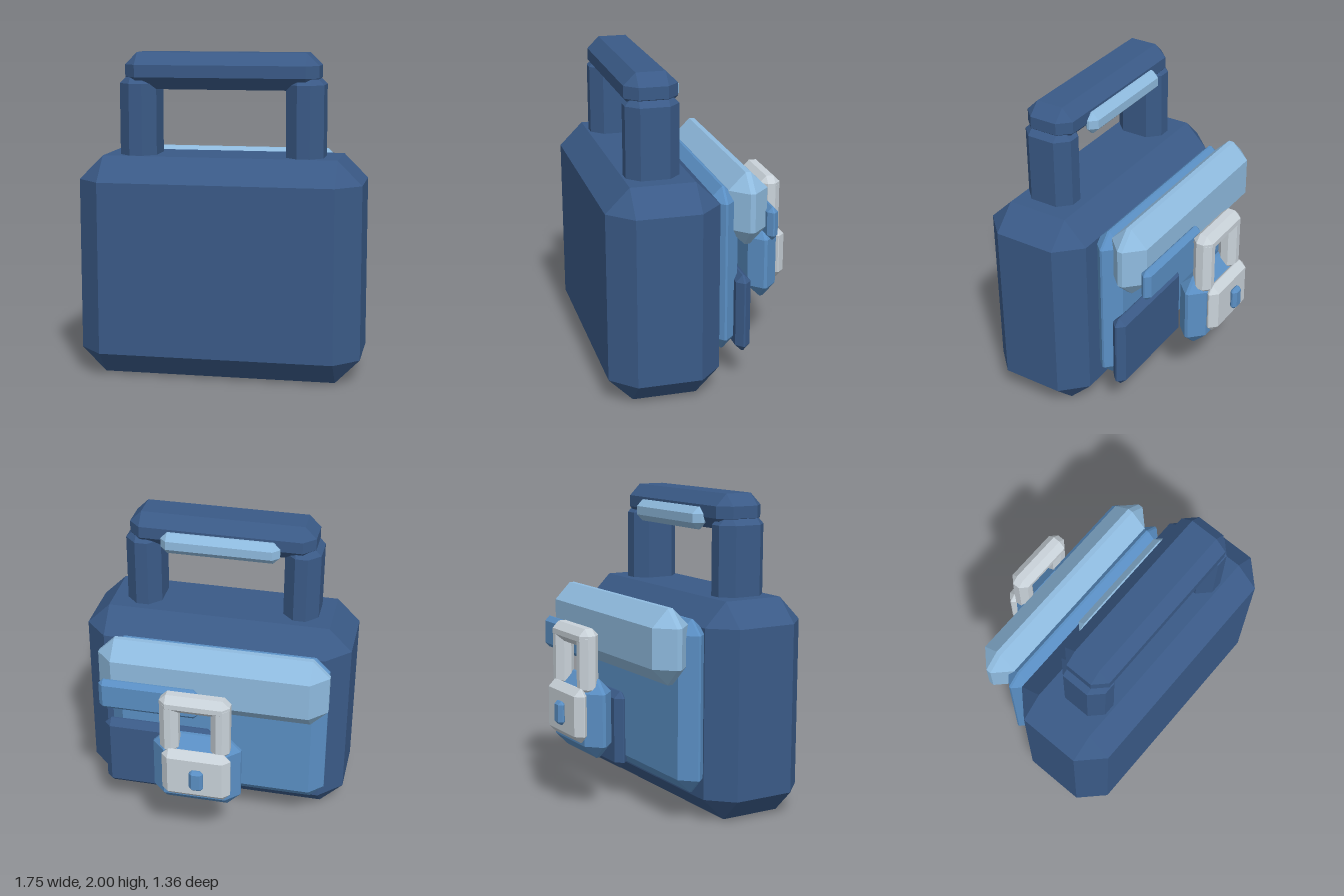
import * as THREE from 'three';
import { ConvexGeometry } from 'three/addons/geometries/ConvexGeometry.js';

const material = (name, color) => {
  const m = new THREE.MeshStandardMaterial({ color });
  m.name = name;
  return m;
};

// Box given by its extents, with every edge cut off at 45 degrees by c
function chamferBox([x0, x1], [y0, y1], [z0, z1], c) {
  const h = [(x1 - x0) / 2, (y1 - y0) / 2, (z1 - z0) / 2];
  const points = [];
  for (const sx of [-1, 1]) for (const sy of [-1, 1]) for (const sz of [-1, 1]) {
    for (let axis = 0; axis < 3; axis++) {
      const e = h.map((v, i) => (i === axis ? v : v - c));
      points.push(new THREE.Vector3(sx * e[0], sy * e[1], sz * e[2]));
    }
  }
  const geometry = new ConvexGeometry(points);
  geometry.translate((x0 + x1) / 2, (y0 + y1) / 2, (z0 + z1) / 2);
  return geometry;
}

export function createModel() {
  const group = new THREE.Group();
  group.name = 'satchel';
  const navy = material('navy', 0x3a5a87);
  const blue = material('midBlue', 0x5a8fc4);
  const sky = material('lightBlue', 0x8fbbdf);
  const silver = material('silver', 0xc9d2d9);

  const add = (name, mat, x, y, z, c, parent = group) => {
    const mesh = new THREE.Mesh(chamferBox(x, y, z, c), mat);
    mesh.name = name;
    parent.add(mesh);
  };

  // Main case
  add('body', navy, [-0.875, 0.875], [0, 1.37], [-0.025, 0.675], 0.15);

  // Carrying handle
  const handle = new THREE.Group();
  handle.name = 'handle';
  group.add(handle);
  add('leftHandlePost', navy, [0.4, 0.63], [1.2, 1.885], [0.18, 0.51], 0.075, handle);
  add('rightHandlePost', navy, [-0.635, -0.405], [1.2, 1.885], [0.18, 0.51], 0.075, handle);
  add('handleBar', navy, [-0.6, 0.6], [1.775, 2], [0.18, 0.51], 0.075, handle);
  add('handleGrip', sky, [-0.385, 0.38], [1.77, 1.91], [0.125, 0.225], 0.042, handle);

  // Panel, flap, pocket and strap on the back
  add('panel', blue, [-0.77, 0.66], [0.2, 1.275], [-0.185, 0.01], 0.09);
  add('flap', sky, [-0.79, 0.69], [0.89, 1.355], [-0.367, -0.118], 0.108);
  add('pocket', navy, [-0.05, 0.685], [0.2, 0.71], [-0.25, -0.155], 0.042);
  add('strap', blue, [0.01, 0.655], [0.92, 1.13], [-0.425, -0.355], 0.03);

  // Padlock
  const lock = new THREE.Group();
  lock.name = 'padlock';
  group.add(lock);
  add('lockBase', blue, [-0.285, 0.28], [0.355, 0.86], [-0.57, -0.378], 0.085, lock);
  add('lockPlate', silver, [-0.24, 0.2], [0.465, 0.81], [-0.637, -0.54], 0.045, lock);
  add('shackleTop', silver, [-0.225, 0.22], [1.06, 1.18], [-0.592, -0.457], 0.043, lock);
  add('shackleLeftPost', silver, [0.1, 0.22], [0.76, 1.16], [-0.59, -0.46], 0.04, lock);
  add('shackleRightPost', silver, [-0.225, -0.105], [0.76, 1.16], [-0.59, -0.46], 0.04, lock);
  add('keyhole', blue, [-0.08, 0.01], [0.56, 0.71], [-0.68, -0.63], 0.02, lock);

  return group;
}
